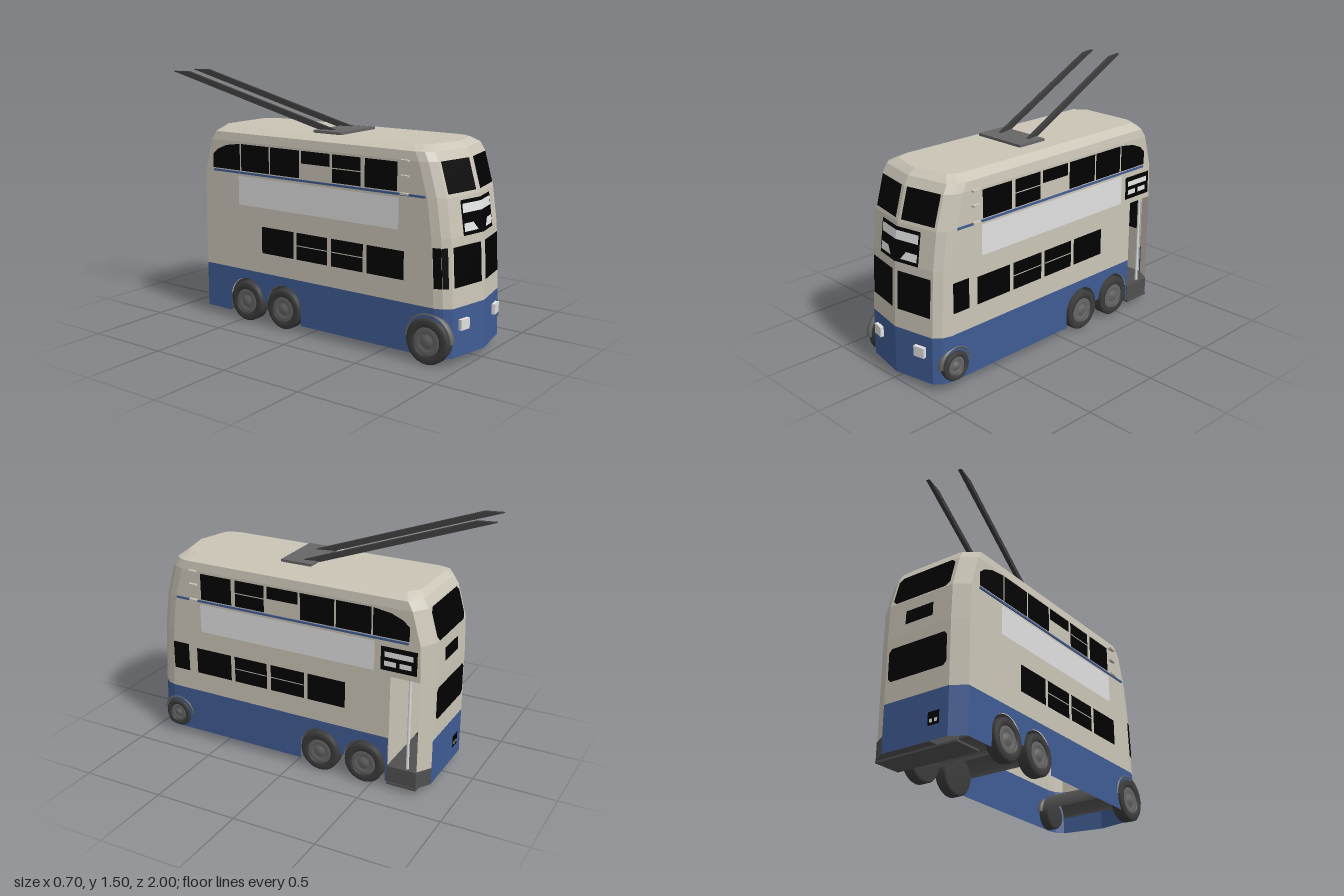
import * as THREE from 'three';

const mat = (name, color, double) => {
  const m = new THREE.MeshStandardMaterial({ color });
  m.name = name;
  if (double) m.side = THREE.DoubleSide;
  return m;
};

// Body keyframes: height, front z, rear z, half width
const KEYS = [
  [0.045, 1.0, -0.834, 0.305], [0.32, 0.995, -0.834, 0.305], [0.7, 0.975, -0.834, 0.305],
  [0.91, 0.945, -0.828, 0.305], [1.1, 0.89, -0.775, 0.305], [1.15, 0.862, -0.745, 0.298],
  [1.182, 0.82, -0.71, 0.235],
];
function section(y) {
  let i = 0;
  while (i < KEYS.length - 2 && y > KEYS[i + 1][0]) i++;
  const a = KEYS[i], b = KEYS[i + 1], t = (y - a[0]) / (b[0] - a[0]);
  const [f, r, w] = [1, 2, 3].map((k) => a[k] + (b[k] - a[k]) * t);
  return { f, r, w };
}

// Plan outline at one height, anticlockwise from the front centre
function ring(y) {
  const { f, r, w } = section(y), k = w / 0.305;
  const half = [[0, f], [0.255 * k, f - 0.05], [0.29 * k, f - 0.09], [w, f - 0.14],
    [w, -0.6], [w, r + 0.055], [0.22 * k, r], [0, r]];
  const other = half.slice(1, 7).reverse().map(([x, z]) => [-x, z]);
  return [...half, ...other].map(([x, z]) => [x, y, z]);
}

function facets(tris) {
  const g = new THREE.BufferGeometry();
  g.setAttribute('position', new THREE.Float32BufferAttribute(tris.flat(), 3));
  g.computeVertexNormals();
  return g;
}

// Faceted skin through several heights; keep(level, segment) picks the faces
function shell(levels, keep, cap = false) {
  const rings = levels.map(ring), tris = [], n = rings[0].length;
  for (let l = 0; l < rings.length - 1; l++) {
    for (let i = 0; i < n; i++) {
      if (!keep(l, i)) continue;
      const j = (i + 1) % n, a = rings[l], b = rings[l + 1];
      tris.push(a[i], a[j], b[j], a[i], b[j], b[i]);
    }
  }
  if (cap) {
    const top = rings.at(-1);
    top.forEach((p, i) => tris.push([0, p[1], 0], p, top[(i + 1) % n]));
  }
  return facets(tris);
}

// Surfaces that painted panels lie on: (u, y) -> point, plus outward direction
const sideOf = (s) => ({ at: (z, y) => [s * 0.305, y, z], out: [s, 0, 0] });
const frontOf = (s) => ({ at: (u, y) => [s * u, y, section(y).f - u * 0.196], out: [0, 0.15, 0.97] });
const cornerInner = { at: (t, y) => [-0.255 - 0.035 * t, y, section(y).f - 0.05 - 0.04 * t], out: [-0.75, 0, 0.66] };
const cornerOuter = { at: (t, y) => [-0.29 - 0.015 * t, y, section(y).f - 0.09 - 0.05 * t], out: [-0.96, 0, 0.29] };
const rear = { at: (x, y) => [x, y, section(y).r], out: [0, 0.1, -1] };

export function createModel() {
  const cream = mat('creamPaint', 0xcbc5b7, true);
  const blue = mat('bluePaint', 0x3f5c94, true);
  const black = mat('blackGlass', 0x010101);
  const light = mat('lightGrey', 0xe0e0e0);
  const white = mat('signWhite', 0xf0f4f2);
  const dark = mat('darkGrey', 0x505050, true);
  const rubber = mat('rubber', 0x3c3c3c);
  const metal = mat('wheelMetal', 0x666666);

  const model = new THREE.Group();
  model.name = 'trolleybus';
  const bus = new THREE.Group();
  bus.name = 'bus';
  bus.position.x = 0.018;
  model.add(bus);

  const add = (name, geo, material, x = 0, y = 0, z = 0) => {
    const m = new THREE.Mesh(geo, material);
    m.name = name;
    m.position.set(x, y, z);
    bus.add(m);
    return m;
  };
  const box = (name, material, w, h, d, x, y, z) => add(name, new THREE.BoxGeometry(w, h, d), material, x, y, z);

  // Convex painted panel laid on a surface, turned to face outward
  const panel = (name, material, surf, pts, lift = 0.004) => {
    const out = new THREE.Vector3(...surf.out).normalize();
    const p = pts.map(([u, y]) => new THREE.Vector3(...surf.at(u, y)).addScaledVector(out, lift));
    const n = p[1].clone().sub(p[0]).cross(p[2].clone().sub(p[0]));
    if (n.dot(out) < 0) p.reverse();
    const tris = [];
    for (let i = 1; i < p.length - 1; i++) tris.push(p[0].toArray(), p[i].toArray(), p[i + 1].toArray());
    add(name, facets(tris), material);
  };
  const rect = (name, material, surf, u0, u1, y0, y1, lift) =>
    panel(name, material, surf, [[u0, y0], [u1, y0], [u1, y1], [u0, y1]], lift);

  // Body skins; segment 4 on the lowest cream level is the open doorway
  add('upperBody', shell([0.32, 0.7, 0.91, 1.1, 1.15, 1.182], (l, i) => !(l === 0 && i === 4), true), cream);
  add('doorPillar', shell([0.15, 0.32], (l, i) => i === 5), cream);
  add('lowerBody', shell([0.045, 0.32], (l, i) => ![3, 4, 5, 10].includes(i)), blue);

  // Side skirts with the paired rear wheel arches
  const skirt = new THREE.Shape();
  skirt.moveTo(-0.86, 0.045);
  skirt.lineTo(0.042, 0.045);
  skirt.lineTo(0.042, 0.14);
  skirt.absarc(0.17, 0.14, 0.128, Math.PI, 0, true);
  skirt.absarc(0.455, 0.14, 0.128, Math.PI, 0, true);
  skirt.lineTo(0.585, 0.045);
  skirt.lineTo(0.6, 0.045);
  skirt.lineTo(0.6, 0.32);
  skirt.lineTo(-0.855, 0.32);
  for (const s of [1, -1]) add('sideSkirt', new THREE.ShapeGeometry(skirt, 16).rotateY(Math.PI / 2), blue, s * 0.305);

  // Rear entrance
  box('bulkhead', cream, 0.6, 0.55, 0.01, 0, 0.425, -0.597);
  box('entranceCeiling', cream, 0.59, 0.01, 0.18, 0, 0.705, -0.69);
  box('entranceBackLining', cream, 0.43, 0.54, 0.006, 0, 0.42, -0.826);
  box('entranceBackWindow', black, 0.4, 0.195, 0.004, 0, 0.537, -0.822);
  const step = new THREE.Shape([[-0.1, 0.595], [0.31, 0.595], [0.31, 0.778], [0.222, 0.832], [-0.1, 0.828]]
    .map(([x, y]) => new THREE.Vector2(x, y)));
  add('platform', new THREE.ExtrudeGeometry(step, { depth: 0.1, bevelEnabled: false }).rotateX(-Math.PI / 2), dark, 0, 0.045);
  box('platformTread', dark, 0.55, 0.012, 0.18, 0.037, 0.036, -0.69);
  add('grabPole', new THREE.CylinderGeometry(0.009, 0.009, 0.56, 8), light, 0.285, 0.425, -0.715);

  for (const s of [1, -1]) {
    const side = sideOf(s), front = frontOf(s);
    // Lower deck side windows
    [[0.668, 0.426], [0.4, 0.18], [0.153, -0.067], [-0.09, -0.33]].forEach(([a, b], i) => {
      rect('lowerWindow', black, side, a, b, 0.445, 0.606);
      if (i === 1 || i === 2) rect('windowBar', cream, side, a, b, 0.526, 0.532, 0.006);
    });
    // Upper deck side windows, the last one curving down
    [[0.62, 0.41], [0.383, 0.19], [0.17, -0.03], [-0.045, -0.26], [-0.27, -0.485]].forEach(([a, b], i) => {
      rect('upperWindow', black, side, a, b, i === 2 ? 1.015 : 0.928, 1.088);
      if (i === 1) rect('windowBar', cream, side, a, b, 1.007, 1.013, 0.006);
    });
    panel('upperRearWindow', black, side, [[-0.495, 0.928], [-0.71, 0.928], [-0.71, 1.01], [-0.67, 1.045], [-0.6, 1.073], [-0.495, 1.088]]);
    box('waistStripe', blue, 0.012, 0.012, 1.5, s * 0.306, 0.915, 0.045);
    for (const y of [0.92, 1.015, 1.098]) box('sideBracket', cream, 0.022, 0.01, 0.05, s * 0.315, y, 0.67);
    rect('sidePanel', light, side, 0.63, -0.507, 0.72, 0.895);

    // Front windows, sign and lamps
    rect('windscreen', black, front, 0.022, 0.243, 0.43, 0.65);
    rect('upperFrontWindow', black, front, 0.022, 0.243, 0.93, 1.1);
    rect('frontSign', black, front, 0, 0.16, 0.7, 0.89);
    rect('frontSignStrip', white, front, 0, 0.15, 0.82, 0.87, 0.006);
    panel('frontSignLower', white, front, [[0.04, 0.72], [0.15, 0.72], [0.15, 0.765], [0.075, 0.765]], 0.006);
    box('headlight', light, 0.07, 0.06, 0.03, s * 0.177, 0.225, 0.968).rotation.y = s * 0.19;
  }

  // Kerbside destination sign and cab windows
  const near = sideOf(1);
  rect('sideSign', black, near, -0.545, -0.76, 0.735, 0.875);
  rect('sideSignStrip', white, near, -0.567, -0.738, 0.815, 0.847, 0.006);
  for (const z of [-0.567, -0.658]) rect('sideSignBlock', white, near, z, z - 0.07, 0.762, 0.792, 0.006);
  rect('cabWindow', black, near, 0.838, 0.727, 0.445, 0.62);
  rect('cabCornerWindow', black, cornerInner, 0.35, 1, 0.43, 0.65);
  rect('cabCornerWindow', black, cornerOuter, 0, 0.9, 0.43, 0.65);

  // Rear windows and plate
  const rounded = (w, y0, y1, c) => [[-w + c, y0], [w - c, y0], [w, y0 + c], [w, y1 - c],
    [w - c, y1], [-w + c, y1], [-w, y1 - c], [-w, y0 + c]];
  panel('upperBackWindow', black, rear, rounded(0.2, 0.912, 1.098, 0.025));
  panel('lowerBackWindow', black, rear, rounded(0.2, 0.44, 0.635, 0.02));
  rect('rearSign', black, rear, -0.095, 0.095, 0.76, 0.84);
  rect('rearPlate', black, rear, -0.165, -0.09, 0.125, 0.2);
  for (const x of [-0.155, -0.122]) rect('rearPlateMark', white, rear, x, x + 0.02, 0.14, 0.16, 0.006);

  // Wheels, closed at the back
  const lathe = (pts) => new THREE.LatheGeometry(pts.map(([r, h]) => new THREE.Vector2(r, h)), 28);
  const tyre = lathe([[0, -0.05], [0.115, -0.05], [0.125, -0.038], [0.125, 0.018], [0.115, 0.028], [0.085, 0.028], [0.075, 0.018]]);
  const hub = lathe([[0.078, 0.02], [0.055, 0.025], [0.05, 0.018], [0.03, 0.018], [0.025, 0.028], [0, 0.028]]);
  const wheel = (s, z, y, size) => {
    for (const [name, geo, m] of [['tyre', tyre, rubber], ['wheelHub', hub, metal]]) {
      const w = add(name, geo, m, s * 0.292, y, z);
      w.rotation.z = -s * Math.PI / 2;
      w.scale.set(size, 1, size);
    }
  };
  for (const s of [1, -1]) for (const z of [-0.17, -0.455]) wheel(s, z, 0.125, 0.97);
  wheel(1, 0.83, 0.135, 0.7);
  wheel(-1, 0.82, 0.13, 1.04);

  // Front mudguards and wheel arch linings
  for (const s of [1, -1]) {
    const guard = new THREE.TorusGeometry(s > 0 ? 0.1 : 0.14, 0.01, 6, 16, Math.PI).rotateY(Math.PI / 2);
    add('mudguard', guard, metal, s * 0.29, 0.14, 0.825).scale.x = 2;
  }
  const lining = (r, w, z) => add('archLining',
    new THREE.CylinderGeometry(r, r, w, 16, 1, true, 0, Math.PI).rotateZ(Math.PI / 2), dark, 0, 0.139, z);
  lining(0.127, 0.6, -0.17);
  lining(0.127, 0.6, -0.455);
  lining(0.12, 0.5, 0.82);

  // Roof base and trolley poles: blocks turned to their heading, then sheared along it
  box('poleBase', metal, 0.34, 0.016, 0.195, -0.038, 1.189, 0.078);
  const rise = 0.31, lean = -0.212 / rise, sweep = -0.958 / rise;
  const shear = new THREE.Matrix4().set(1, lean, 0, 0, 0, 1, 0, 0, 0, sweep, 1, 0, 0, 0, 0, 1);
  for (const [x, z] of [[-0.226, -0.437], [-0.026, -0.464]]) {
    const geo = new THREE.BoxGeometry(0.022, rise, 0.11).rotateY(Math.atan2(lean, sweep) + Math.PI).applyMatrix4(shear);
    const pole = new THREE.Mesh(geo, rubber);
    pole.name = 'trolleyPole';
    pole.position.set(x, 1.348, z);
    model.add(pole);
  }
  return model;
}
